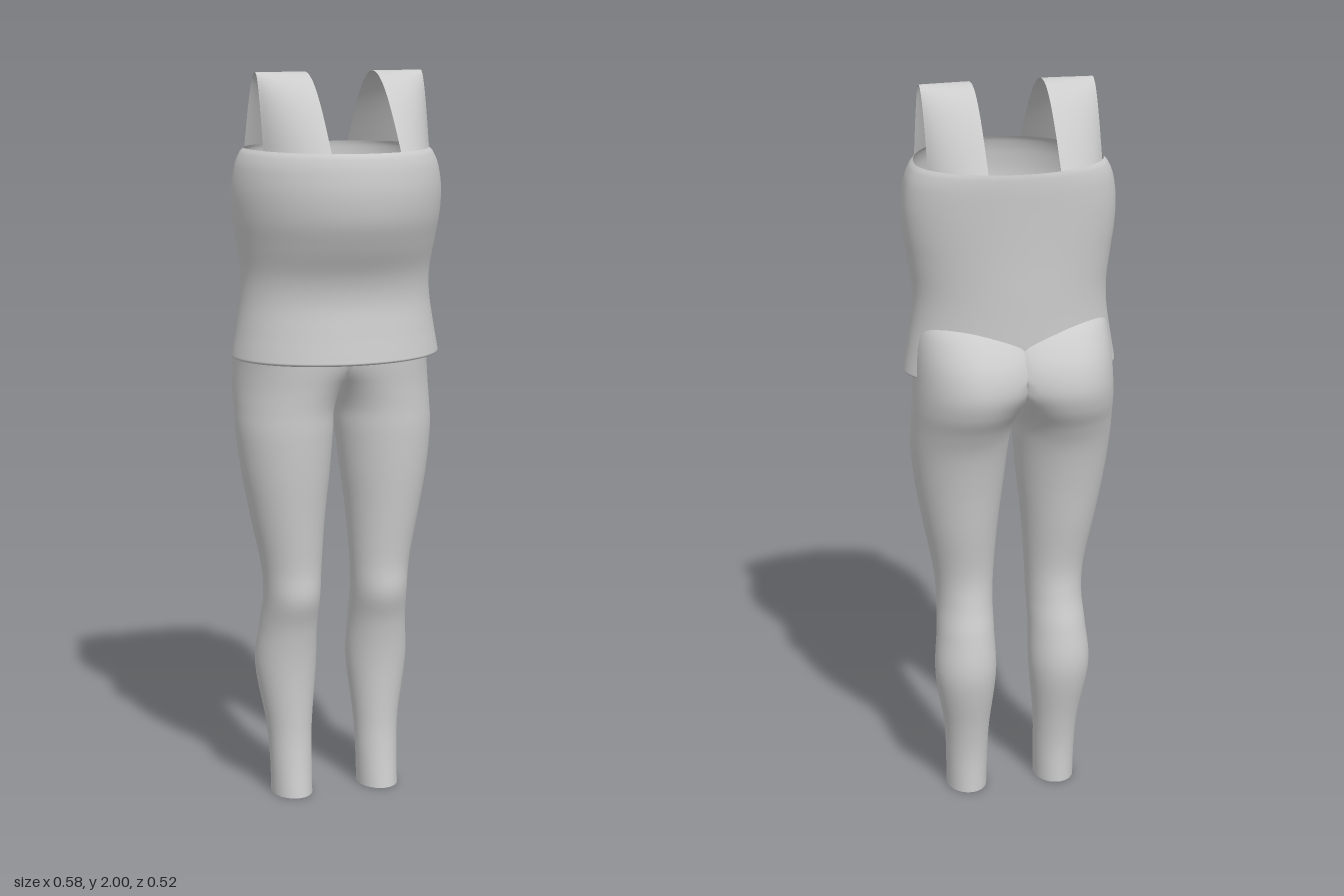
import * as THREE from 'three';

// Smoothly resample a short table of cross-sections into n + 1 rows
function resample(table, n) {
  const rows = [];
  for (let i = 0; i <= n; i++) {
    const t = (i / n) * (table.length - 1);
    const k = Math.min(Math.floor(t), table.length - 2);
    const u = t - k;
    const at = (q) => table[Math.max(0, Math.min(table.length - 1, q))];
    rows.push(table[0].map((_, c) => {
      const [p0, p1, p2, p3] = [at(k - 1)[c], at(k)[c], at(k + 1)[c], at(k + 2)[c]];
      const m1 = (p2 - p0) / 2, m2 = (p3 - p1) / 2;
      return p1 + u * (m1 + u * (3 * (p2 - p1) - 2 * m1 - m2 + u * (2 * (p1 - p2) + m1 + m2)));
    }));
  }
  return rows;
}

// Smooth surface from a grid of points; faces lying wholly on skipped points are left out
function surface(rows, cols, closed, point, skip = () => false) {
  const pos = [], index = [], flags = [];
  const n = closed ? cols : cols + 1;
  for (let i = 0; i <= rows; i++) {
    for (let j = 0; j < n; j++) {
      const p = point(i, j / cols);
      flags.push(skip(p));
      pos.push(...p);
    }
  }
  for (let i = 0; i < rows; i++) {
    for (let j = 0; j < cols; j++) {
      const a = i * n + j, b = i * n + ((j + 1) % n), c = a + n, d = b + n;
      if (flags[a] && flags[b] && flags[c] && flags[d]) continue;
      index.push(a, c, b, b, c, d);
    }
  }
  const g = new THREE.BufferGeometry();
  g.setAttribute('position', new THREE.Float32BufferAttribute(pos, 3));
  g.setIndex(index);
  g.computeVertexNormals();
  return g;
}

// Leg and half pelvis: y, centre x, inner radius, outer radius, front z, back z
const LEG = [
  [0, 0.127, 0.056, 0.056, 0.035, -0.11],
  [0.1, 0.127, 0.058, 0.058, 0.02, -0.109],
  [0.2, 0.128, 0.063, 0.064, 0.013, -0.122],
  [0.36, 0.133, 0.084, 0.085, 0.018, -0.155],
  [0.48, 0.13, 0.079, 0.08, 0.036, -0.143],
  [0.57, 0.127, 0.077, 0.078, 0.063, -0.122],
  [0.66, 0.129, 0.083, 0.083, 0.062, -0.115],
  [0.8, 0.138, 0.103, 0.102, 0.075, -0.138],
  [0.92, 0.141, 0.12, 0.121, 0.087, -0.158],
  [1.03, 0.139, 0.129, 0.135, 0.095, -0.183],
  [1.1, 0.134, 0.132, 0.14, 0.097, -0.212],
  [1.16, 0.124, 0.155, 0.148, 0.102, -0.245],
  [1.22, 0.116, 0.21, 0.153, 0.109, -0.259],
  [1.29, 0.113, 0.24, 0.153, 0.113, -0.243],
  [1.36, 0.113, 0.24, 0.147, 0.11, -0.197],
  [1.4, 0.113, 0.24, 0.138, 0.1, -0.15],
];

// Top: y, half width, front z, back z
const TOP = [
  [1.237, 0.278, 0.172, -0.19],
  [1.242, 0.288, 0.185, -0.197],
  [1.258, 0.287, 0.184, -0.198],
  [1.32, 0.276, 0.174, -0.2],
  [1.4, 0.264, 0.165, -0.201],
  [1.47, 0.262, 0.178, -0.202],
  [1.55, 0.272, 0.218, -0.203],
  [1.62, 0.282, 0.247, -0.205],
  [1.69, 0.285, 0.257, -0.208],
  [1.75, 0.277, 0.253, -0.211],
  [1.785, 0.263, 0.245, -0.211],
  [1.8, 0.25, 0.237, -0.209],
];
const TOP_Z = -0.035;

export function createModel() {
  const group = new THREE.Group();
  const grey = new THREE.MeshStandardMaterial({ color: 0xcccccc, side: THREE.DoubleSide });
  grey.name = 'light grey';
  const add = (name, geometry, mirrored) => {
    const mesh = new THREE.Mesh(geometry, grey);
    mesh.name = name;
    if (mirrored) mesh.scale.x = -1;
    group.add(mesh);
  };

  // Legs, open at both ends and joined along the middle above the crotch
  const legRows = resample(LEG, 90);
  const leg = surface(90, 72, true, (i, v) => {
    const [y, cx, inner, outer, front, back] = legRows[i];
    const a = v * Math.PI * 2, c = Math.cos(a), s = Math.sin(a);
    const x = cx + c * (c < 0 ? inner : outer);
    return [Math.max(0, x), y, (front + back) / 2 + s * (front - back) / 2];
  }, (p) => p[0] === 0);
  add('leftLeg', leg, false);
  add('rightLeg', leg, true);

  // Sleeveless top with a turned-in hem
  const topRows = resample(TOP, 66);
  add('topBody', surface(66, 96, true, (i, v) => {
    const [y, half, front, back] = topRows[i];
    const a = v * Math.PI * 2, s = Math.sin(a);
    return [half * Math.cos(a), y, TOP_Z + s * (s > 0 ? front - TOP_Z : TOP_Z - back)];
  }), false);

  // Shoulder straps arching from the front edge to the back edge
  const [topY, topHalf, topFront, topBack] = TOP[TOP.length - 1];
  const strap = surface(16, 48, false, (i, v) => {
    const x = 0.095 + (0.232 - 0.095) * (i / 16);
    const k = Math.sqrt(1 - (x / topHalf) ** 2);
    const t = 1 - 2 * v;
    const front = TOP_Z + (topFront - TOP_Z) * k;
    const back = TOP_Z + (topBack - TOP_Z) * k;
    const z = t > 0 ? front * t : -back * t;
    return [x, topY + 0.2 * Math.cos(t * Math.PI / 2), z];
  });
  add('leftStrap', strap, false);
  add('rightStrap', strap, true);

  return group;
}
